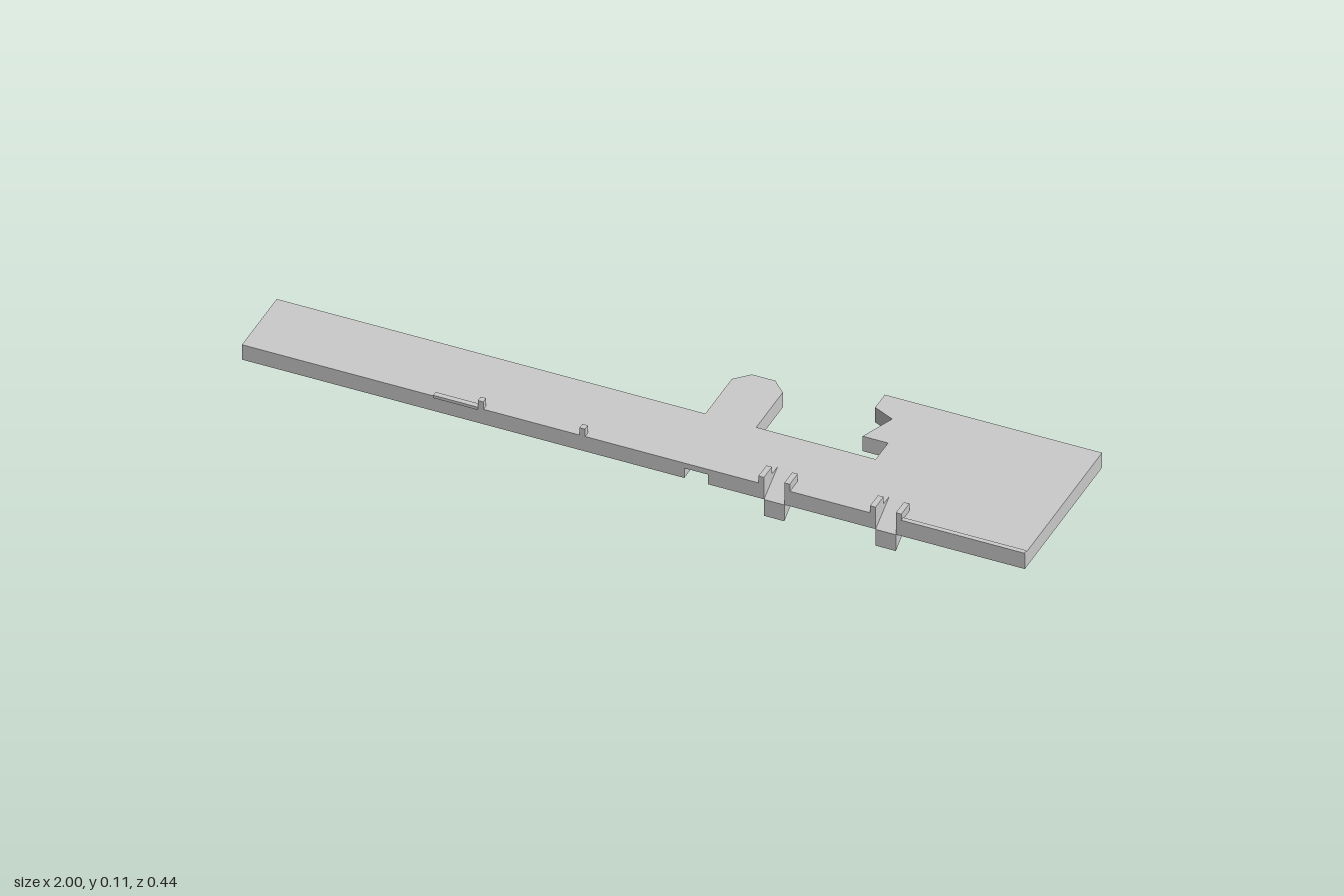
import * as THREE from 'three';

const BOTTOM = 0.047, MID = 0.075, TOP = 0.09, FRONT = 0.217;
const CHUTES = [0.36, 0.645];   // centre x of each front chute
const CHUTE_HALF = 0.026;

export function createModel() {
  const group = new THREE.Group();
  const material = new THREE.MeshStandardMaterial({ color: 0xcccccc, flatShading: true });

  const add = (name, geometry) => {
    const mesh = new THREE.Mesh(geometry, material);
    mesh.name = name;
    group.add(mesh);
  };

  const box = (name, x0, x1, y0, y1, z0, z1) => {
    const g = new THREE.BoxGeometry(x1 - x0, y1 - y0, z1 - z0);
    g.translate((x0 + x1) / 2, (y0 + y1) / 2, (z0 + z1) / 2);
    add(name, g);
  };

  // Plate layer: plan outline with slots [x0, x1, depth z] cut into the front edge
  const plate = (name, y0, y1, slots) => {
    const front = slots.flatMap(([a, b, z]) => [[a, FRONT], [a, z], [b, z], [b, FRONT]]);
    const outline = [
      [-1, FRONT], ...front, [1, FRONT], [1, -0.22], [0.445, -0.22], [0.445, -0.165],
      [0.5, -0.14], [0.465, -0.05], [0.53, -0.05], [0.53, 0.02], [0.225, 0.02],
      [0.225, -0.13], [0.19, -0.165], [0.13, -0.165], [0.095, -0.13], [0.095, 0.02], [-1, 0.02],
    ];
    const shape = new THREE.Shape(outline.map(([x, z]) => new THREE.Vector2(x, -z)));
    const g = new THREE.ExtrudeGeometry(shape, { depth: y1 - y0, bevelEnabled: false });
    g.rotateX(-Math.PI / 2).translate(0, y0, 0);
    add(name, g);
  };

  // Side profile given as [z, y], extruded along x
  const sideProfile = (name, points, x0, x1) => {
    const shape = new THREE.Shape(points.map(([z, y]) => new THREE.Vector2(-z, y)));
    const g = new THREE.ExtrudeGeometry(shape, { depth: x1 - x0, bevelEnabled: false });
    g.rotateY(Math.PI / 2).translate(x0, 0, 0);
    add(name, g);
  };

  // Deck, with openings for the chutes and a groove below the rear tab
  const chuteSlots = CHUTES.map((x) => [x - CHUTE_HALF, x + CHUTE_HALF, 0.14]);
  plate('deckTop', MID, TOP, chuteSlots);
  plate('deckBottom', BOTTOM, MID, [[0.13, 0.19, 0.1], ...chuteSlots]);
  sideProfile('grooveRamp', [[FRONT, MID], [0.1, MID], [0.1, BOTTOM]], 0.13, 0.19);

  // Sloping chutes flanked by upright cheeks
  for (const x of CHUTES) {
    sideProfile('chute', [[0.14, TOP], [0.14, BOTTOM], [0.218, 0], [0.218, BOTTOM]],
      x - CHUTE_HALF, x + CHUTE_HALF);
    for (const s of [-1, 1]) {
      const c = x + s * 0.033;
      box('chuteCheek', c - 0.007, c + 0.007, TOP, 0.111, 0.173, 0.218);
    }
  }

  // Small pins and raised lips along the front edge
  for (const x of [-0.39, -0.13]) box('pin', x - 0.007, x + 0.007, TOP, 0.112, 0.202, 0.218);
  box('rightLip', -0.51, -0.397, TOP - 0.003, 0.095, 0.207, 0.221);
  box('leftLip', 0.685, 1, TOP, 0.094, 0.207, 0.219);

  return group;
}
